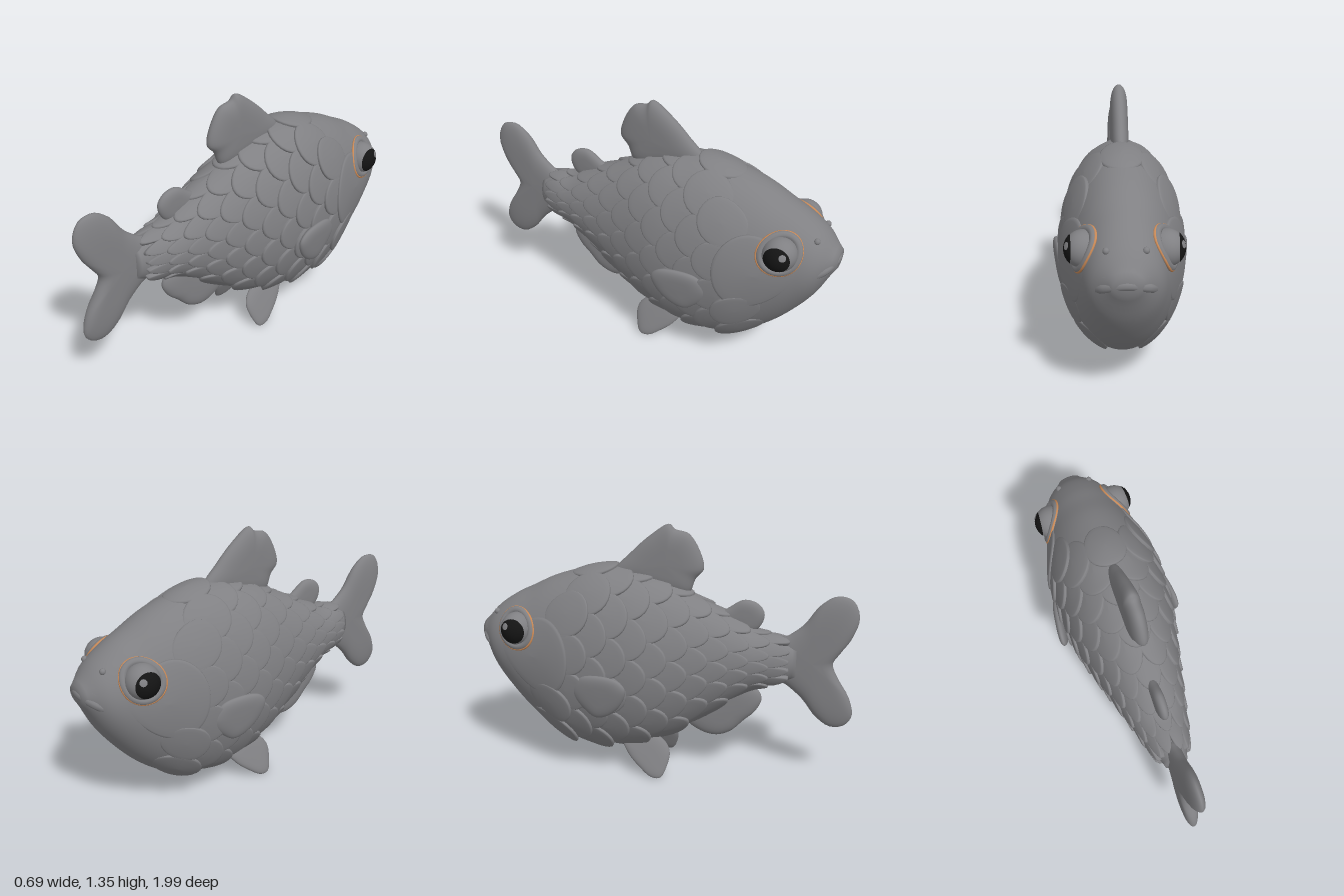
import * as THREE from 'three';
import { mergeGeometries } from 'three/addons/utils/BufferGeometryUtils.js';

// Body stations every 0.1 from the snout (z = -1) to the tail root (z = 0.7)
const TOP = [0.78, 0.88, 0.95, 1.0, 1.05, 1.085, 1.11, 1.115, 1.1, 1.08, 1.05, 1.01, 0.96, 0.91, 0.86, 0.81, 0.79, 0.76];
const BOTTOM = [0.72, 0.53, 0.39, 0.28, 0.2, 0.15, 0.13, 0.12, 0.13, 0.155, 0.19, 0.24, 0.31, 0.385, 0.46, 0.52, 0.54, 0.57];
const WIDTH = [0.05, 0.155, 0.2, 0.23, 0.255, 0.275, 0.28, 0.28, 0.275, 0.265, 0.245, 0.22, 0.195, 0.17, 0.145, 0.12, 0.095, 0.06];

// Smooth interpolation through a station table
function sample(table, z) {
  const f = THREE.MathUtils.clamp((z + 1) * 10, 0, 17);
  const i = Math.min(16, Math.floor(f)), t = f - i;
  const at = k => table[THREE.MathUtils.clamp(k, 0, 17)];
  const m0 = (at(i + 1) - at(i - 1)) / 2, m1 = (at(i + 2) - at(i)) / 2;
  const t2 = t * t, t3 = t2 * t;
  return at(i) * (2 * t3 - 3 * t2 + 1) + m0 * (t3 - 2 * t2 + t) + at(i + 1) * (3 * t2 - 2 * t3) + m1 * (t3 - t2);
}

function section(z) {
  const top = sample(TOP, z), bottom = sample(BOTTOM, z);
  return { w: sample(WIDTH, z), c: (top + bottom) / 2, h: (top - bottom) / 2 };
}

// Point on the body; u runs round the section from the back ridge, lift pushes outward
function bodyPoint(z, u, lift = 0) {
  const { w, c, h } = section(z);
  const a = u + 0.12 * Math.sin(2 * u);
  const n = new THREE.Vector2(Math.sin(a) / w, Math.cos(a) / h).normalize();
  return [w * Math.sin(a) + n.x * lift, c + h * Math.cos(a) + n.y * lift, z];
}

// Surface from rings of points, closed round j
function grid(rings, sides, point) {
  const pos = [], idx = [];
  for (let i = 0; i <= rings; i++)
    for (let j = 0; j < sides; j++) {
      pos.push(...point(i, j));
      if (i === rings) continue;
      const k = (j + 1) % sides, r = i * sides, s = r + sides;
      idx.push(r + j, s + j, s + k, r + j, s + k, r + k);
    }
  const g = new THREE.BufferGeometry();
  g.setAttribute('position', new THREE.Float32BufferAttribute(pos, 3));
  g.setIndex(idx);
  g.computeVertexNormals();
  return g;
}

// Plate hugging the body, rising toward its rear edge
function plate(z0, u0, rz, ru, height, sides, power = 1) {
  const rho = [0, 0.25, 0.5, 0.75, 0.92, 0.98, 1, 1];
  const drop = [0, 0, 0, 0, 0, 0.002, 0.008, 0.05];
  return grid(rho.length - 1, sides, (i, j) => {
    const f = j / sides * Math.PI * 2, dz = rho[i] * Math.cos(f);
    return bodyPoint(z0 + rz * dz, u0 + ru * rho[i] * Math.sin(f),
      height * Math.pow((1 + dz) / 2, power) - drop[i]);
  });
}

// Puffy fin from a (z, y) outline; bend gives the sideways position at (z, y)
function finGeometry(outline, centre, thick, bend = () => 0) {
  let pts = new THREE.CatmullRomCurve3(outline.map(([z, y]) => new THREE.Vector3(z, y, 0)), true)
    .getPoints(64).slice(0, 64);
  if (THREE.ShapeUtils.area(pts) < 0) pts.reverse();
  return grid(16, 64, (i, j) => {
    const a = (i / 16 - 0.5) * Math.PI;
    const r = Math.sqrt(Math.max(0, Math.cos(a)));
    const z = centre[0] + (pts[j].x - centre[0]) * r, y = centre[1] + (pts[j].y - centre[1]) * r;
    return [bend(z, y) + thick * Math.sin(a), y, z];
  });
}

export function createModel() {
  const model = new THREE.Group();
  const mat = (name, color) => Object.assign(new THREE.MeshStandardMaterial({ color }), { name });
  const grey = mat('grey', 0x808083);
  const black = mat('black', 0x141414);
  const orange = mat('orange', 0xc98a58);
  const add = (parent, name, geometry, material = grey) => {
    const m = new THREE.Mesh(geometry, material);
    m.name = name;
    parent.add(m);
    return m;
  };

  // Body with closed ends
  const N = 90;
  add(model, 'body', grid(N + 2, 80, (i, j) => {
    const t = THREE.MathUtils.clamp((i - 1) / N, 0, 1), z = -0.985 + 1.685 * t;
    const p = bodyPoint(z, j / 80 * Math.PI * 2);
    return i === 0 || i === N + 2 ? [0, section(z).c, z] : p;
  }));

  // Staggered rows of overlapping scales, leaving the head and belly smooth
  const scales = [];
  const count = 12, step = Math.PI * 2 / count;
  for (let row = -1; row <= 10; row++)
    for (let k = 0; k < count; k++) {
      const u = (k + (row & 1 ? 0 : 0.5)) * step;
      const fromTop = Math.min(u, Math.PI * 2 - u);
      if (fromTop > 2.85) continue;
      if (row < 0 && fromTop < 1.8) continue;
      if (row === 0 && fromTop < 0.6) continue;
      scales.push(plate(-0.46 + row * 0.1, u, 0.125, step * 0.56, 0.036 - row * 0.0012, 24));
    }
  add(model, 'scales', mergeGeometries(scales));

  // Fins along the middle
  add(model, 'tailFin', finGeometry([[0.6, 0.77], [0.66, 0.81], [0.73, 0.87], [0.8, 0.97], [0.88, 1.025], [0.96, 1.01],
    [1.0, 0.92], [0.97, 0.81], [0.92, 0.73], [0.885, 0.665], [0.92, 0.58], [0.98, 0.48], [1.0, 0.38], [0.96, 0.325],
    [0.89, 0.315], [0.81, 0.37], [0.74, 0.46], [0.66, 0.53], [0.6, 0.57]], [0.78, 0.67], 0.042));
  add(model, 'dorsalFin', finGeometry([[-0.26, 1.09], [-0.17, 1.2], [-0.06, 1.3], [0.03, 1.355], [0.06, 1.33],
    [0.13, 1.31], [0.19, 1.22], [0.21, 1.13], [0.17, 1.08], [0.13, 1.0], [-0.05, 1.02]], [0.02, 1.15], 0.045));
  add(model, 'rearBackFin', finGeometry([[0.28, 0.88], [0.35, 0.94], [0.42, 0.98], [0.49, 0.965], [0.525, 0.92],
    [0.52, 0.87], [0.48, 0.82], [0.36, 0.82]], [0.42, 0.89], 0.028));
  add(model, 'analFin', finGeometry([[0.13, 0.29], [0.2, 0.23], [0.29, 0.21], [0.37, 0.24], [0.44, 0.31], [0.5, 0.37],
    [0.53, 0.44], [0.51, 0.49], [0.42, 0.52], [0.25, 0.42]], [0.34, 0.36], 0.034));

  // Lips
  for (const [name, y, z, r] of [['upperLip', 0.785, -0.955, 0.022], ['lowerLip', 0.745, -0.968, 0.025]]) {
    const curve = new THREE.CatmullRomCurve3([[-0.135, -0.07, 0.1], [-0.09, -0.025, 0.03], [0, 0, 0], [0.09, -0.025, 0.03],
      [0.135, -0.07, 0.1]].map(p => new THREE.Vector3(p[0], y + p[1], z + p[2])));
    add(model, name, new THREE.TubeGeometry(curve, 32, r, 10));
  }

  // Paired parts, built on +x and mirrored
  const side = new THREE.Group();
  side.name = 'leftSide';
  add(side, 'gillCover', plate(-0.64, 1.4, 0.2, 0.62, 0.032, 48, 2));
  add(side, 'pectoralFin', finGeometry([[-0.42, 0.54], [-0.37, 0.61], [-0.27, 0.63], [-0.17, 0.615], [-0.13, 0.57],
    [-0.16, 0.48], [-0.23, 0.41], [-0.3, 0.39], [-0.36, 0.43], [-0.41, 0.49]], [-0.27, 0.52], 0.025,
    (z, y) => 0.285 + (z + 0.4) * 0.14 + (y - 0.5) * 0.1));
  add(side, 'pelvicFin', finGeometry([[-0.2, 0.18], [-0.17, 0.12], [-0.1, 0.055], [-0.03, 0.01], [0.02, 0.012],
    [0.05, 0.07], [0.06, 0.14], [0.03, 0.19], [-0.05, 0.23], [-0.13, 0.22]], [-0.06, 0.12], 0.024,
    (z, y) => 0.105 + (0.18 - y) * 0.45));

  // Eye socket rims follow the head surface
  const eye = new THREE.Vector3(0.182, 0.81, -0.74);
  const rim = (radius, lift) => new THREE.CatmullRomCurve3(Array.from({ length: 24 }, (_, i) => {
    const a = i / 24 * Math.PI * 2, y = eye.y + radius * Math.sin(a), z = eye.z + radius * Math.cos(a);
    const s = section(z);
    return new THREE.Vector3(s.w * Math.sqrt(Math.max(0, 1 - ((y - s.c) / s.h) ** 2)) + lift, y, z);
  }), true);
  add(side, 'eyelid', new THREE.TubeGeometry(rim(0.088, 0), 48, 0.02, 10, true));
  add(side, 'eyeRing', new THREE.TubeGeometry(rim(0.102, 0.006), 48, 0.007, 8, true), orange);
  add(side, 'eyeball', new THREE.SphereGeometry(0.087, 32, 24)).position.copy(eye);
  // Spherical caps turned to face outward and slightly forward
  const cap = (name, r, angle, dir, material) => {
    const m = add(side, name, new THREE.SphereGeometry(r, 32, 10, 0, Math.PI * 2, 0, angle), material);
    m.position.copy(eye);
    m.quaternion.setFromUnitVectors(new THREE.Vector3(0, 1, 0), new THREE.Vector3(...dir).normalize());
  };
  cap('pupil', 0.089, 0.82, [1, 0.04, -0.08], black);
  cap('eyeGlint', 0.091, 0.2, [1, 0.42, -0.5], grey);

  // Nostril
  const nostril = add(side, 'nostril', new THREE.SphereGeometry(0.016, 12, 8));
  nostril.position.set(0.085, 0.865, -0.885);
  model.add(side);
  const other = side.clone();
  other.name = 'rightSide';
  other.scale.x = -1;
  model.add(other);
  return model;
}
